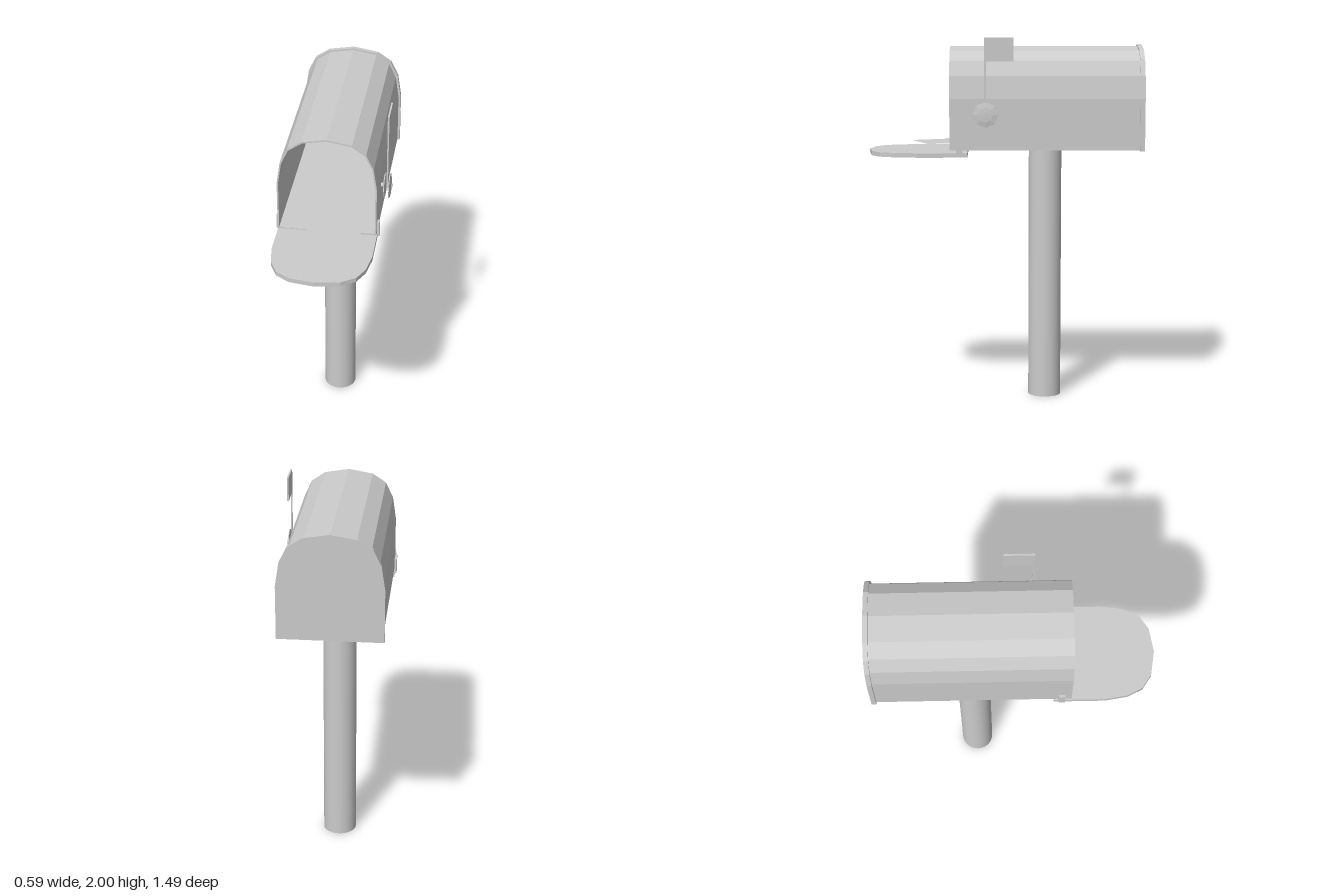
import * as THREE from 'three';

const CX = -0.025; // centre line of box, lid and post
const FLOOR = 1.4;

// Arched outline: straight sides and a faceted round top, as half-width/height fractions
const ARCH = [[1, 0], [1, 0.5], [0.93, 0.72], [0.78, 0.87], [0.5, 0.96], [0, 1]];

function archPoints(halfWidth, height, base = 0) {
  const right = ARCH.map(([x, y]) => new THREE.Vector2(x * halfWidth, base + y * height));
  const left = right.slice(0, -1).reverse().map(p => new THREE.Vector2(-p.x, p.y));
  return [...right, ...left];
}

function extrude(points, depth, hole) {
  const shape = new THREE.Shape(points);
  if (hole) shape.holes.push(new THREE.Path(hole));
  return new THREE.ExtrudeGeometry(shape, { depth, bevelEnabled: false });
}

export function createModel() {
  const model = new THREE.Group();
  model.name = 'mailbox';
  const smooth = new THREE.MeshStandardMaterial({ color: 0xcccccc });
  const flat = new THREE.MeshStandardMaterial({ color: 0xcccccc, flatShading: true });
  const sheet = new THREE.MeshStandardMaterial({ color: 0xcccccc, side: THREE.DoubleSide });

  function add(name, geometry, x, y, z, material = flat, parent = model) {
    const mesh = new THREE.Mesh(geometry, material);
    mesh.name = name;
    mesh.position.set(x, y, z);
    parent.add(mesh);
    return mesh;
  }

  // Round post
  add('post', new THREE.CylinderGeometry(0.09, 0.09, 1.405, 28), CX, 0.7025, -0.22, smooth);

  // Thin hollow box, open at the front
  const wall = 0.008;
  add('boxShell',
    extrude(archPoints(0.26, 0.548), 1.03, archPoints(0.26 - wall, 0.548 - 2 * wall, wall)),
    CX, FLOOR, -0.73);

  // Back panel, slightly larger than the box
  add('backPanel', extrude(archPoints(0.272, 0.562), 0.025), CX, FLOOR - 0.005, -0.745);

  // Door lowered to horizontal
  const door = extrude(archPoints(0.262, 0.54), 0.024);
  door.rotateX(Math.PI / 2);
  add('door', door, CX, 1.385, 0.205);

  // Hinge tabs on both sides
  for (const side of [-1, 1]) {
    add(side > 0 ? 'leftHinge' : 'rightHinge',
      new THREE.BoxGeometry(0.014, 0.082, 0.034), CX + side * 0.265, 1.415, 0.248);
  }

  // Two letters lying inside, the upper one sticking out at an angle
  const letters = new THREE.Group();
  letters.name = 'letters';
  model.add(letters);
  const letterShape = (w, l) => new THREE.PlaneGeometry(w, l).rotateX(-Math.PI / 2).translate(0, 0, -l / 2);
  add('lowerLetter', letterShape(0.26, 0.42), -0.115, 1.424, 0.33, sheet, letters);
  const upper = add('upperLetter', letterShape(0.26, 0.42), 0.07, 1.43, 0.465, sheet, letters);
  upper.rotation.y = Math.atan2(0.1, 0.24);

  // Signal flag with its pivot
  const flag = new THREE.Group();
  flag.name = 'flag';
  model.add(flag);
  add('flagArm', new THREE.BoxGeometry(0.008, 0.41, 0.012), 0.268, 1.795, 0.109, flat, flag);
  add('flagPlate', new THREE.BoxGeometry(0.009, 0.126, 0.157), 0.268, 1.937, 0.036, flat, flag);

  // Eight-sided lens discs either side of the arm, on a small axle
  const lens = new THREE.LatheGeometry([
    [0, -0.009], [0.04, -0.007], [0.068, -0.002], [0.068, 0.002], [0.04, 0.007], [0, 0.009],
  ].map(([r, y]) => new THREE.Vector2(r, y)), 8);
  lens.rotateZ(-Math.PI / 2);
  for (const [name, x] of [['innerDisc', 0.255], ['outerDisc', 0.281]]) {
    add(name, lens, x, 1.592, 0.107, flat, flag);
  }
  const axle = new THREE.CylinderGeometry(0.012, 0.012, 0.062, 8).rotateZ(Math.PI / 2);
  add('flagAxle', axle, 0.262, 1.592, 0.107, flat, flag);

  return model;
}
